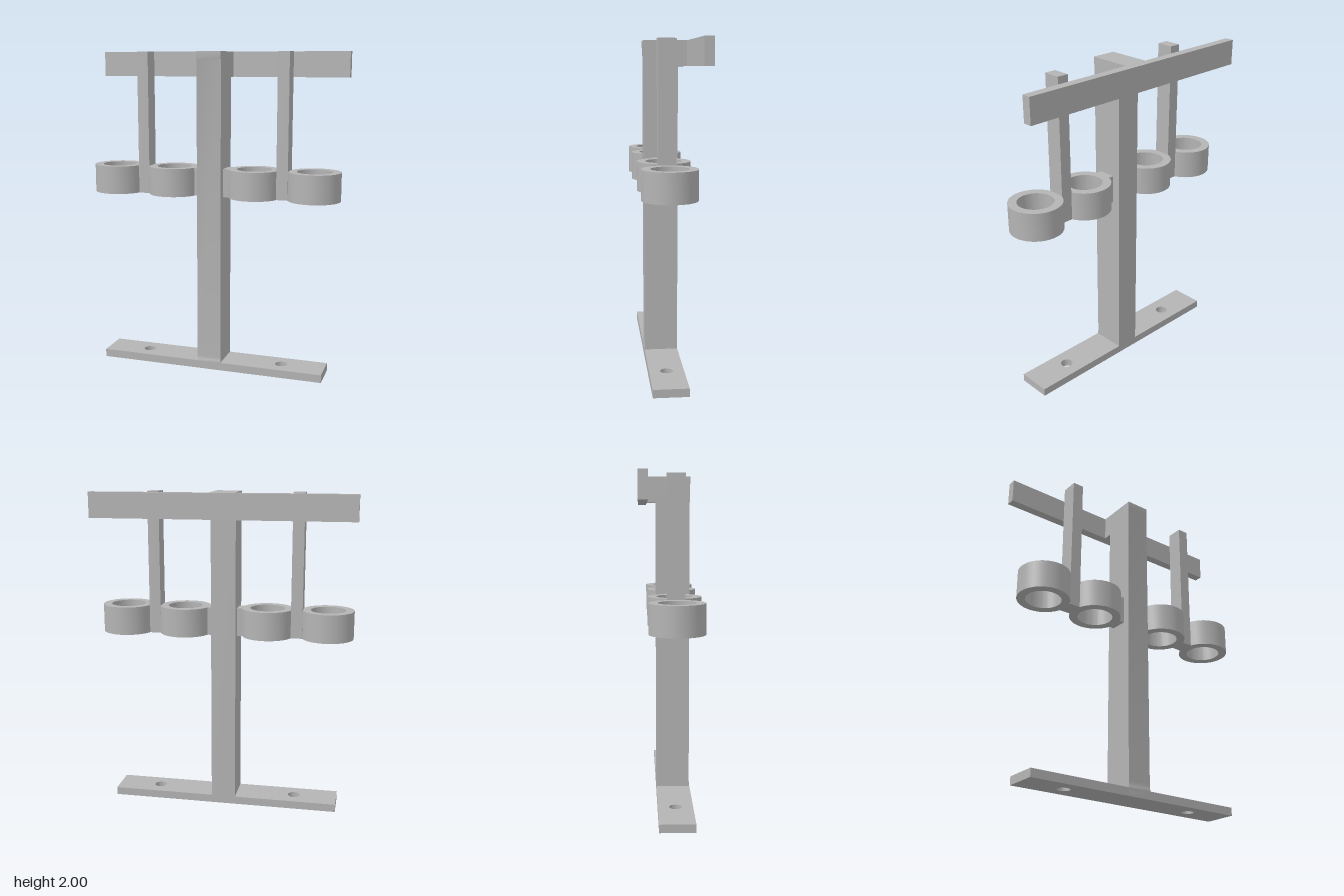
import * as THREE from 'three';
import { toCreasedNormals } from 'three/addons/utils/BufferGeometryUtils.js';

export function createModel() {
  const model = new THREE.Group();
  model.name = 'tubeHolderStand';
  const grey = new THREE.MeshStandardMaterial({ color: 0xb4b4b4 });
  grey.name = 'grey';

  const add = (name, geometry, x = 0, y = 0, z = 0) => {
    const mesh = new THREE.Mesh(geometry, grey);
    mesh.name = name;
    mesh.position.set(x, y, z);
    model.add(mesh);
    return mesh;
  };
  const box = (name, x0, x1, y0, y1, z0, z1) => add(name,
    new THREE.BoxGeometry(x1 - x0, y1 - y0, z1 - z0),
    (x0 + x1) / 2, (y0 + y1) / 2, (z0 + z1) / 2);
  const extrude = (shape, depth) => toCreasedNormals(
    new THREE.ExtrudeGeometry(shape, { depth, bevelEnabled: false, curveSegments: 32 }), 0.5);
  const hole = (x, y, r) => new THREE.Path().absarc(x, y, r, 0, Math.PI * 2, true);

  const midZ = 0.025, ringBottom = 1.115, ringHeight = 0.175;

  // Base plate with two screw holes, shape drawn in x and -z
  const plate = new THREE.Shape([
    new THREE.Vector2(-0.725, -0.13), new THREE.Vector2(0.725, -0.13),
    new THREE.Vector2(0.725, 0.08), new THREE.Vector2(-0.725, 0.08)]);
  plate.holes.push(hole(-0.45, -midZ, 0.038), hole(0.45, -midZ, 0.038));
  add('basePlate', extrude(plate, 0.05)).rotation.x = -Math.PI / 2;

  // Post side profile in z and y: shallow recessed front, neck at the top back
  const profile = new THREE.Shape();
  profile.moveTo(-0.08, 0);
  profile.lineTo(0.13, 0);
  profile.lineTo(0.13, 0.06);
  profile.quadraticCurveTo(0.126, 0.07, 0.126, 0.095);
  profile.lineTo(0.126, 1.945);
  profile.lineTo(0.13, 1.96);
  profile.lineTo(0.13, 2);
  profile.lineTo(-0.135, 2);
  profile.lineTo(-0.135, 1.845);
  profile.lineTo(-0.08, 1.845);
  const postGeometry = extrude(profile, 0.154);
  postGeometry.translate(0, 0, -0.077);
  add('post', postGeometry).rotation.y = -Math.PI / 2;

  // Crossbar behind the top of the post
  box('crossbar', -0.805, 0.805, 1.845, 2, -0.19, -0.135);

  // Holder ring
  const ring = new THREE.Shape().absarc(0, 0, 0.16, 0, Math.PI * 2);
  ring.holes.push(hole(0, 0, 0.108));
  const ringGeometry = extrude(ring, ringHeight);

  for (const [side, s] of [['left', 1], ['right', -1]]) {
    for (const [which, x] of [['Inner', 0.262], ['Outer', 0.637]]) {
      add(side + which + 'Ring', ringGeometry, s * x, ringBottom, midZ).rotation.x = -Math.PI / 2;
    }
    // Upright joining the two rings, and stub joining the inner ring to the post
    const span = (a, b) => (s > 0 ? [a, b] : [-b, -a]);
    box(side + 'Upright', ...span(0.413, 0.484), ringBottom, 2, -0.028, 0.078);
    box(side + 'Stub', ...span(0.07, 0.112), ringBottom, ringBottom + ringHeight, -0.028, 0.078);
  }
  return model;
}
